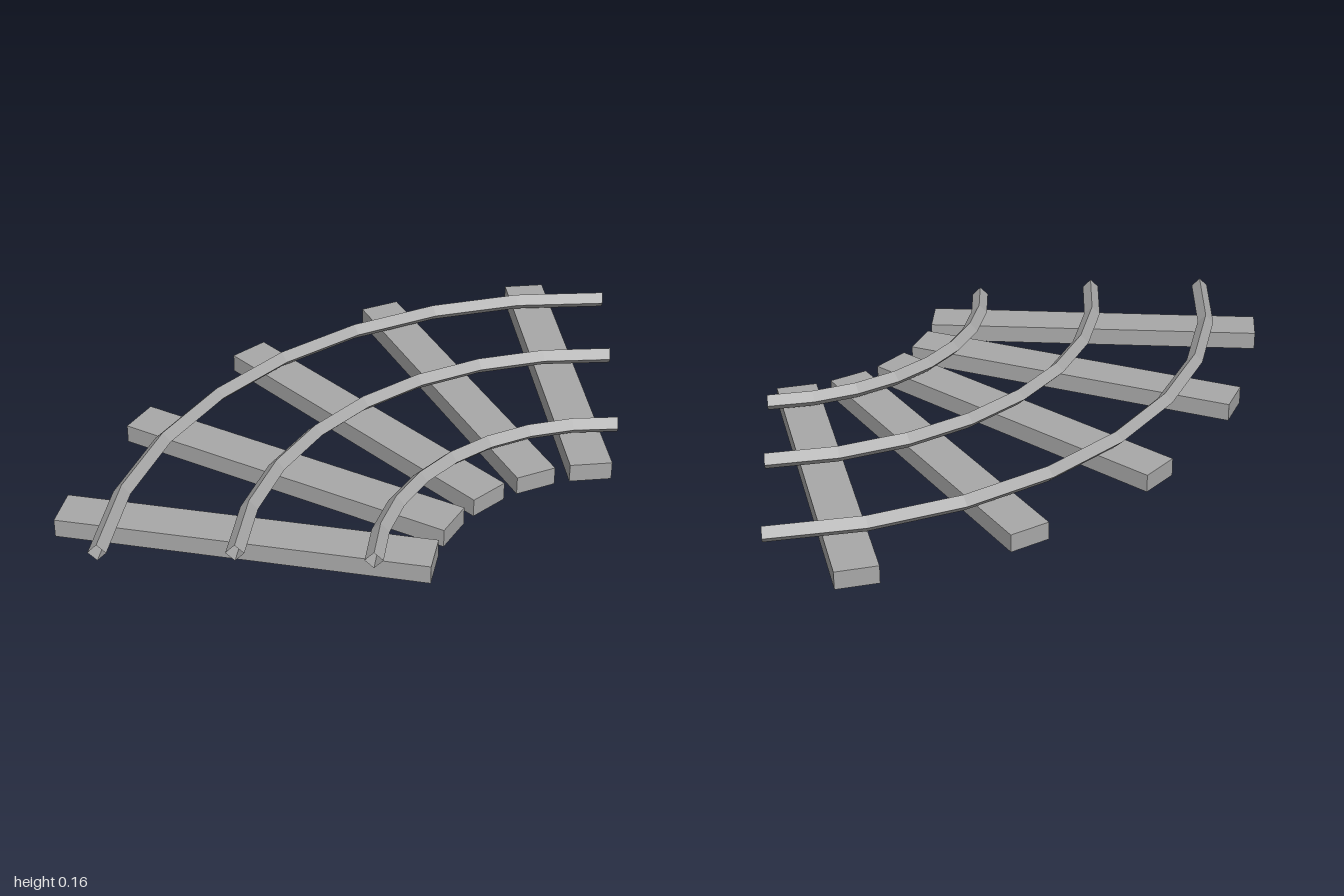
import * as THREE from 'three';

// Quarter arc in the ground plane around the corner (1, 1)
class RailArc extends THREE.Curve {
  constructor(radius, height) {
    super();
    this.radius = radius;
    this.height = height;
  }
  getPoint(t, target = new THREE.Vector3()) {
    const a = t * Math.PI / 2;
    return target.set(1 - this.radius * Math.sin(a), this.height, 1 - this.radius * Math.cos(a));
  }
}

export function createModel() {
  const track = new THREE.Group();
  track.name = 'curvedTrack';

  const grey = new THREE.MeshStandardMaterial({ color: 0xa8a8a8 });
  grey.name = 'grey';
  grey.flatShading = true;
  grey.side = THREE.DoubleSide;

  // Three diamond-section rails, the middle one slightly raised
  const rails = [
    ['outerRail', 1.812, 0.113],
    ['middleRail', 1.344, 0.128],
    ['innerRail', 0.875, 0.113],
  ];
  for (const [name, radius, height] of rails) {
    const rail = new THREE.Mesh(new THREE.TubeGeometry(new RailArc(radius, height), 8, 0.032, 4), grey);
    rail.name = name;
    track.add(rail);
  }

  // Five sleepers fanned out radially beneath the rails
  const sleeperGeometry = new THREE.BoxGeometry(0.156, 0.07, 1.337);
  for (let i = 0; i < 5; i++) {
    const angle = THREE.MathUtils.degToRad(9 + 18 * i);
    const sleeper = new THREE.Mesh(sleeperGeometry, grey);
    sleeper.name = `sleeper${i + 1}`;
    sleeper.position.set(1 - 1.347 * Math.sin(angle), 0.035, 1 - 1.347 * Math.cos(angle));
    sleeper.rotation.y = angle;
    track.add(sleeper);
  }
  return track;
}
